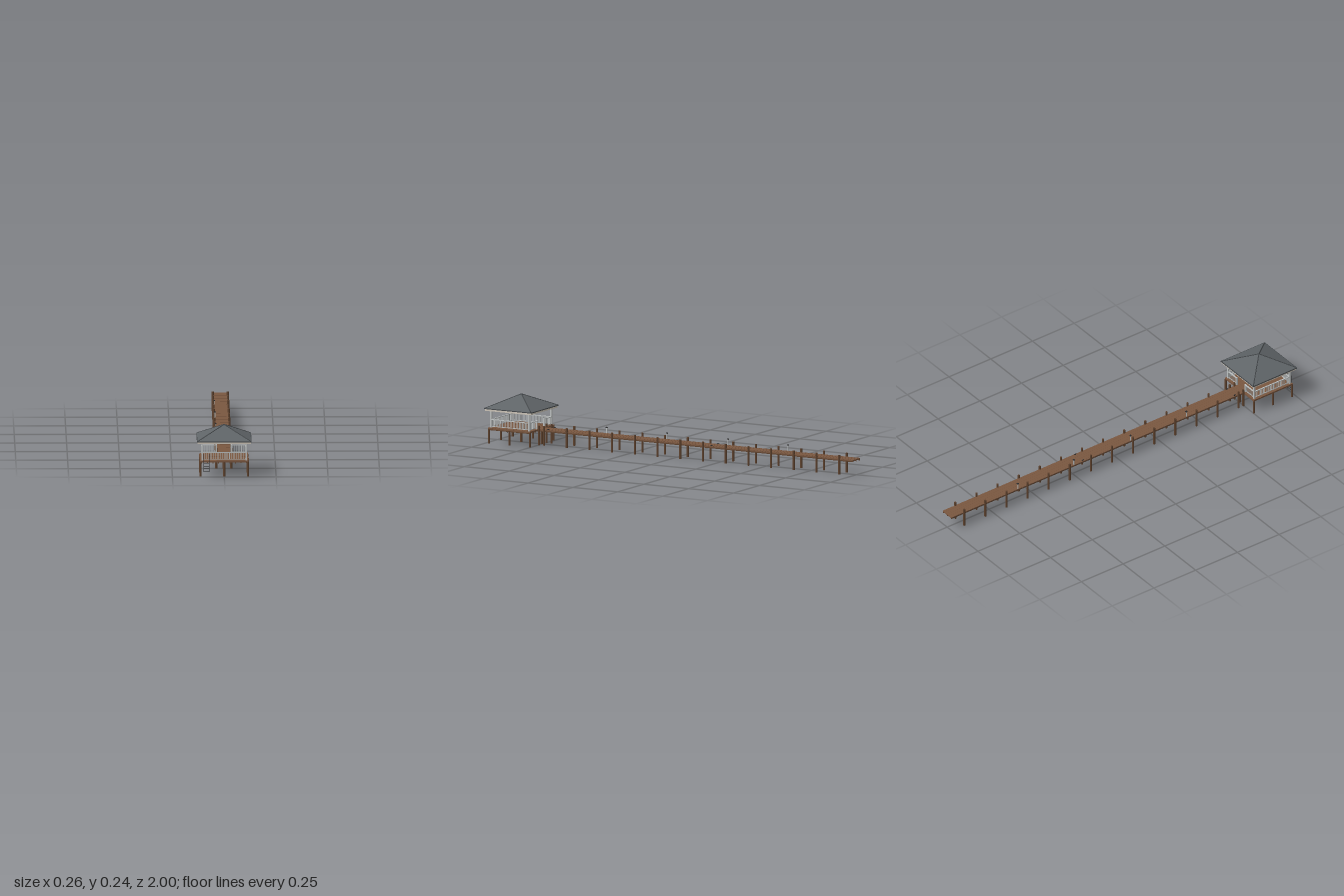
import * as THREE from 'three';

const mat = (name, color, side = THREE.FrontSide) => {
  const m = new THREE.MeshStandardMaterial({ color, side });
  m.name = name;
  return m;
};

export function createModel() {
  const plankWood = mat('plank wood', 0x7a5740);
  const pileWood = mat('pile wood', 0x5f432f);
  const paint = mat('pale grey paint', 0xbcc0c0);
  const cream = mat('cream fascia', 0xcdc5b8);
  const roofGrey = mat('roof grey', 0x5f6467);
  const ridgeGrey = mat('ridge grey', 0x43474a);
  const ceilingGrey = mat('ceiling grey', 0xb0b2b2, THREE.BackSide);
  const darkMetal = mat('dark metal', 0x2c2c2d);

  const root = new THREE.Group();
  const group = (name, parent = root) => {
    const g = new THREE.Group();
    g.name = name;
    parent.add(g);
    return g;
  };
  const box = (parent, name, m, w, h, d, x, y, z) => {
    const mesh = new THREE.Mesh(new THREE.BoxGeometry(w, h, d), m);
    mesh.name = name;
    mesh.position.set(x, y, z);
    parent.add(mesh);
    return mesh;
  };
  const rod = (parent, name, m, a, b, r, sides = 8) => {
    const from = new THREE.Vector3(...a), dir = new THREE.Vector3(...b).sub(from);
    const mesh = new THREE.Mesh(new THREE.CylinderGeometry(r, r, dir.length(), sides), m);
    mesh.name = name;
    mesh.position.copy(from).addScaledVector(dir, 0.5);
    mesh.quaternion.setFromUnitVectors(new THREE.Vector3(0, 1, 0), dir.normalize());
    parent.add(mesh);
    return mesh;
  };

  // Long walkway: stringers, slab and cross planks
  const walkway = group('walkway');
  const zStart = -1, zEnd = 0.755, length = zEnd - zStart;
  box(walkway, 'walkwayBase', plankWood, 0.07, 0.004, length, 0, 0.073, (zStart + zEnd) / 2);
  for (const x of [-0.031, 0, 0.031])
    box(walkway, 'stringer', pileWood, 0.004, 0.006, length, x, 0.069, (zStart + zEnd) / 2);
  const plankCount = 140, pitch = length / plankCount;
  for (let i = 0; i < plankCount; i++)
    box(walkway, 'plank', plankWood, 0.072, 0.002, pitch * 0.93, 0, 0.076, zStart + (i + 0.5) * pitch);

  // Paired piles that rise above the walkway
  const piles = group('walkwayPiles');
  const pileZ = [0.748];
  for (let i = 0; i < 14; i++) pileZ.push(0.72 - i * 0.1265);
  for (const z of pileZ) {
    for (const s of [-1, 1])
      rod(piles, 'walkwayPile', pileWood, [s * 0.036, 0, z], [s * 0.036, 0.095, z], 0.0053);
    box(piles, 'crossBeam', pileWood, 0.072, 0.005, 0.006, 0, 0.068, z);
  }

  // Small lamp posts on one edge, mooring cleats on both
  const fittings = group('walkwayFittings');
  for (const z of [0.41, 0.075, -0.265, -0.6]) {
    box(fittings, 'lampPost', paint, 0.004, 0.027, 0.004, -0.032, 0.0905, z);
    box(fittings, 'lampCap', darkMetal, 0.008, 0.004, 0.008, -0.032, 0.106, z);
  }
  for (const z of [0.7, -0.21])
    for (const s of [-1, 1]) {
      box(fittings, 'cleatFoot', darkMetal, 0.003, 0.003, 0.005, s * 0.031, 0.0785, z);
      box(fittings, 'cleatBar', darkMetal, 0.003, 0.002, 0.013, s * 0.031, 0.081, z);
    }

  // Pavilion, centred on its own group origin
  const pavilion = group('pavilion');
  pavilion.position.z = 0.868;

  // Square deck with boards and joists
  box(pavilion, 'deckBase', plankWood, 0.234, 0.006, 0.234, 0, 0.072, 0);
  for (let i = 0; i < 18; i++)
    box(pavilion, 'deckBoard', plankWood, 0.234, 0.002, 0.0124, 0, 0.076, -0.1105 + i * 0.013);
  for (let i = 0; i < 9; i++)
    box(pavilion, 'joist', pileWood, 0.004, 0.006, 0.226, -0.108 + i * 0.027, 0.067, 0);

  // Supporting piles and corner posts
  for (const x of [-0.114, 0, 0.114])
    for (const z of [-0.114, 0, 0.114])
      rod(pavilion, 'deckPile', pileWood, [x, 0, z], [x, 0.07, z], 0.0053);
  for (const x of [-0.106, 0.106])
    for (const z of [-0.106, 0.106])
      box(pavilion, 'cornerPost', paint, 0.008, 0.088, 0.008, x, 0.12, z);

  // Railing built along local x, then turned onto each side
  const railing = (parent, x0, x1) => {
    const w = x1 - x0, mid = (x0 + x1) / 2;
    box(parent, 'topRail', paint, w, 0.004, 0.006, mid, 0.116, 0);
    box(parent, 'lowerRail', paint, w, 0.003, 0.003, mid, 0.083, 0);
    const n = Math.round(w / 0.0085);
    for (let i = 1; i < n; i++)
      box(parent, 'baluster', paint, 0.0026, 0.034, 0.0026, x0 + (w * i) / n, 0.098, 0);
  };
  for (let i = 0; i < 4; i++) {
    const side = group(['frontRailing', 'leftRailing', 'backRailing', 'rightRailing'][i], pavilion);
    const a = (i * Math.PI) / 2;
    side.rotation.y = a;
    side.position.set(Math.sin(a) * 0.106, 0, Math.cos(a) * 0.106);
    if (i === 2) {
      // Entrance gap where the walkway arrives
      for (const s of [-1, 1]) {
        railing(side, s < 0 ? -0.102 : 0.036, s < 0 ? -0.036 : 0.102);
        box(side, 'gatePost', paint, 0.007, 0.043, 0.007, s * 0.036, 0.0985, 0);
      }
    } else railing(side, -0.102, 0.102);
  }

  // Ladder into the water at the front
  const ladder = group('ladder', pavilion);
  for (const x of [-0.098, -0.072])
    rod(ladder, 'ladderRail', darkMetal, [x, 0.022, 0.121], [x, 0.11, 0.121], 0.0015, 6);
  for (let i = 0; i < 4; i++)
    rod(ladder, 'ladderRung', darkMetal, [-0.098, 0.027 + i * 0.0125, 0.121], [-0.072, 0.027 + i * 0.0125, 0.121], 0.0014, 6);

  // Fascia frame and dark eave trim
  const roof = group('roof', pavilion);
  for (const s of [-1, 1]) {
    box(roof, 'fascia', cream, 0.256, 0.01, 0.004, 0, 0.165, s * 0.126);
    box(roof, 'fascia', cream, 0.004, 0.01, 0.256, s * 0.126, 0.165, 0);
    box(roof, 'eaveTrim', ridgeGrey, 0.264, 0.004, 0.006, 0, 0.171, s * 0.129);
    box(roof, 'eaveTrim', ridgeGrey, 0.006, 0.004, 0.264, s * 0.129, 0.171, 0);
  }

  // Pyramid roof shell, pale underside and hip caps
  const slope = (name, m, half, y0, y1) => {
    const geo = new THREE.ConeGeometry(half * Math.SQRT2, y1 - y0, 4, 1, true).toNonIndexed();
    geo.computeVertexNormals();
    const mesh = new THREE.Mesh(geo, m);
    mesh.name = name;
    mesh.rotation.y = Math.PI / 4;
    mesh.position.y = (y0 + y1) / 2;
    roof.add(mesh);
  };
  slope('roofSlopes', roofGrey, 0.131, 0.172, 0.235);
  slope('roofUnderside', ceilingGrey, 0.129, 0.169, 0.231);
  for (const x of [-0.13, 0.13])
    for (const z of [-0.13, 0.13])
      rod(roof, 'hipCap', ridgeGrey, [x, 0.172, z], [0, 0.235, 0], 0.0025, 6);

  return root;
}
